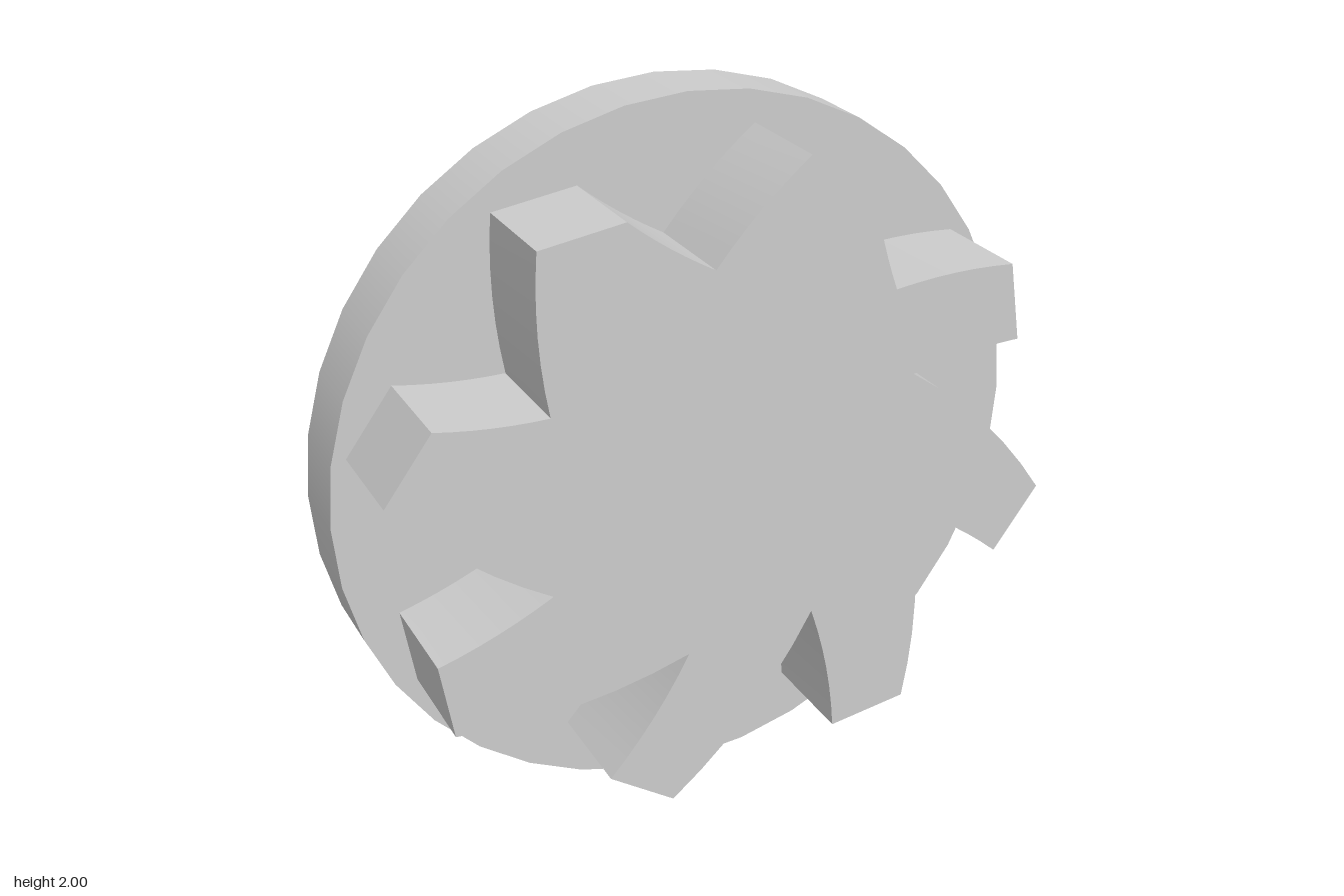
import * as THREE from 'three';
import { toCreasedNormals } from 'three/addons/utils/BufferGeometryUtils.js';

// Each vane, clockwise: leading tip, trailing tip, then the valley after it (relative to the disc centre)
const VANES = [
  [[0.19, 0.895], [0.375, 0.77], [0.45, 0.5]],
  [[0.805, 0.51], [0.84, 0.29], [0.515, 0.25]],
  [[0.945, -0.18], [0.815, -0.355], [0.53, -0.16]],
  [[0.53, -0.76], [0.305, -0.795], [0.225, -0.4]],
  [[-0.195, -0.89], [-0.38, -0.765], [-0.145, -0.435]],
  [[-0.805, -0.5], [-0.84, -0.285], [-0.525, -0.16]],
  [[-0.945, 0.185], [-0.815, 0.36], [-0.515, 0.335]],
  [[-0.535, 0.765], [-0.305, 0.8], [-0.07, 0.64]],
];

// Shallow curve from the shape's current point; side +1 bulges left of travel, -1 right
function bowTo(shape, [x, y], side, radius) {
  const { x: px, y: py } = shape.currentPoint;
  const dx = x - px, dy = y - py;
  const k = side * Math.hypot(dx, dy) / (4 * radius);
  shape.quadraticCurveTo((px + x) / 2 - dy * k, (py + y) / 2 + dx * k, x, y);
}

export function createModel() {
  const model = new THREE.Group();
  model.name = 'impeller';
  const material = new THREE.MeshStandardMaterial({ color: 0xcccccc });

  // Round backing plate
  const disc = new THREE.Mesh(new THREE.CylinderGeometry(1, 1, 0.2, 36).rotateX(Math.PI / 2), material);
  disc.name = 'backPlate';
  disc.position.set(0, 1, -0.15);
  model.add(disc);

  // Swept vanes joined by a solid hub
  const outline = new THREE.Shape();
  outline.moveTo(...VANES[VANES.length - 1][2]);
  for (const [lead, trail, valley] of VANES) {
    bowTo(outline, lead, 1, 1.5);
    outline.lineTo(...trail);
    bowTo(outline, valley, -1, 1.5);
  }
  const geometry = new THREE.ExtrudeGeometry(outline, { depth: 0.3, bevelEnabled: false, curveSegments: 6 });
  const vanes = new THREE.Mesh(toCreasedNormals(geometry, 0.3), material);
  vanes.name = 'hubAndVanes';
  vanes.position.set(0, 1, -0.05);
  model.add(vanes);

  return model;
}
